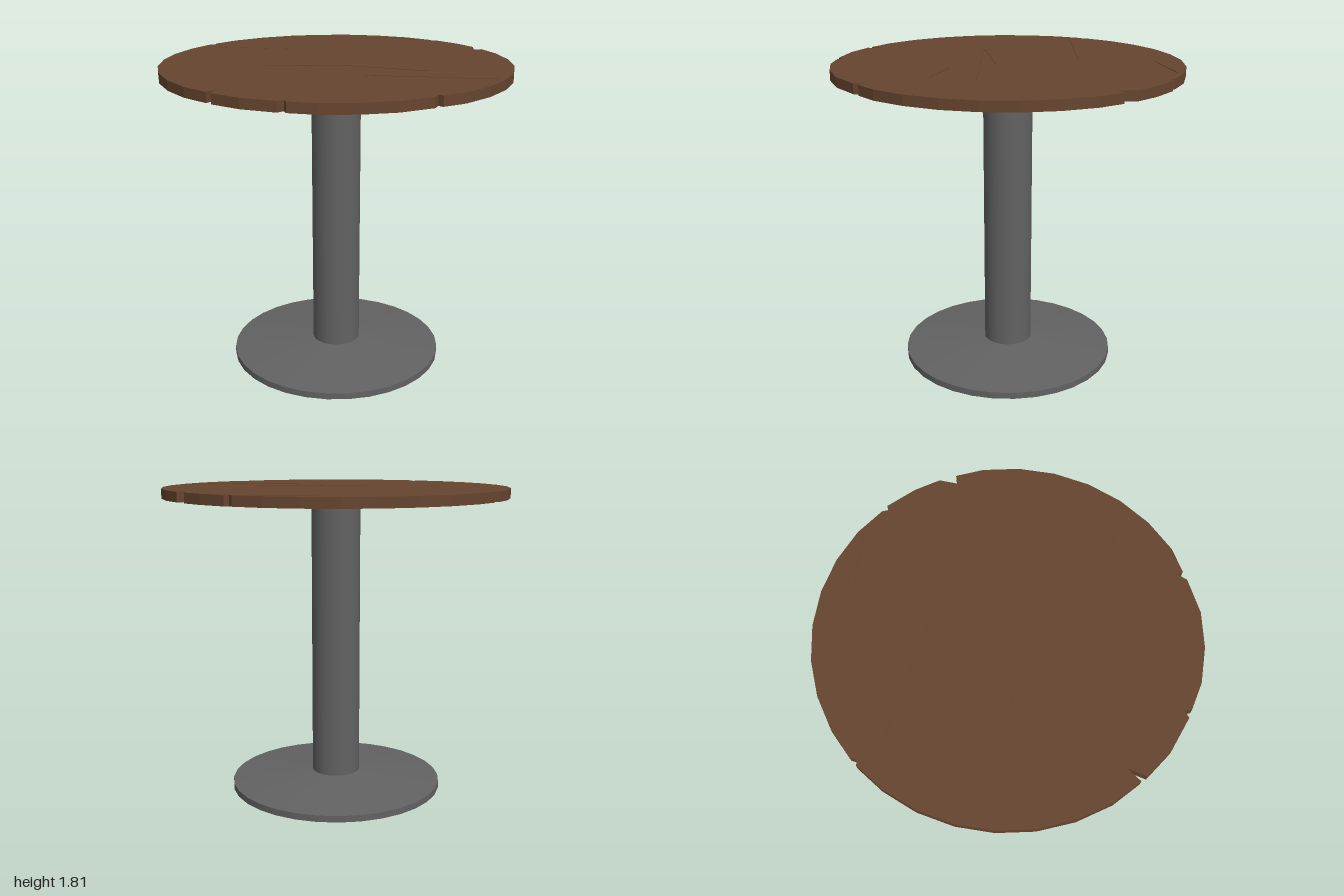
import * as THREE from 'three';

export function createModel() {
  const group = new THREE.Group();
  const wood = new THREE.MeshStandardMaterial({ color: 0x66452f });
  wood.name = 'brown wood';
  const metal = new THREE.MeshStandardMaterial({ color: 0x626262 });
  metal.name = 'grey metal';

  const add = (name, geometry, material, y = 0) => {
    const mesh = new THREE.Mesh(geometry, material);
    mesh.name = name;
    mesh.position.y = y;
    group.add(mesh);
  };
  const toPoints = (list) => list.map(([x, z]) => new THREE.Vector2(x, z));

  // Chips in the rim, each replacing one corner of the 32-sided outline (x, z)
  const chips = {
    5: [[0.59, 0.79], [0.565, 0.77], [0.55, 0.82]],
    9: [[-0.15, 0.98], [-0.165, 0.945], [-0.195, 0.975]],
    11: [[-0.54, 0.837], [-0.525, 0.735], [-0.57, 0.813]],
    19: [[-0.845, -0.535], [-0.815, -0.54], [-0.815, -0.577]],
    27: [[0.535, -0.838], [0.55, -0.81], [0.575, -0.82]],
    29: [[0.8, -0.594], [0.805, -0.495], [0.85, -0.515]],
  };
  const rim = [];
  for (let i = 0; i < 32; i++) {
    const a = (i / 32) * Math.PI * 2;
    rim.push(...(chips[i] || [[Math.cos(a), Math.sin(a)]]));
  }

  // Shallow splits worn into the table surface
  const splits = [
    [[-0.78, -0.45], [0.02, -0.41], [-0.77, -0.442]],
    [[-0.46, 0.12], [0.05, 0.07], [0.57, 0.2]],
    [[0.15, 0.33], [0.9, 0.37], [0.42, 0.44]],
    [[0.02, -0.84], [0.36, -0.89], [0.48, -0.82]],
  ];

  // Horizontal slab hanging down from its own origin
  const slab = (depth, holes = []) => {
    const shape = new THREE.Shape(toPoints(rim));
    holes.forEach((h) => shape.holes.push(new THREE.Path(toPoints(h))));
    return new THREE.ExtrudeGeometry(shape, { depth, bevelEnabled: false }).rotateX(Math.PI / 2);
  };
  add('tableTop', slab(0.053), wood, 1.81);
  add('wornSurface', slab(0.003, splits), wood, 1.813);

  // Collar, column and foot
  add('collar', new THREE.CylinderGeometry(0.2, 0.2, 0.014, 32), metal, 1.752);
  add('column', new THREE.CylinderGeometry(0.143, 0.143, 1.69, 32, 1, true), metal, 0.915);
  add('footSlope', new THREE.CylinderGeometry(0.143, 0.633, 0.05, 32, 1, true), metal, 0.063);
  add('footDisc', new THREE.CylinderGeometry(0.633, 0.633, 0.038, 32), metal, 0.019);

  return group;
}
